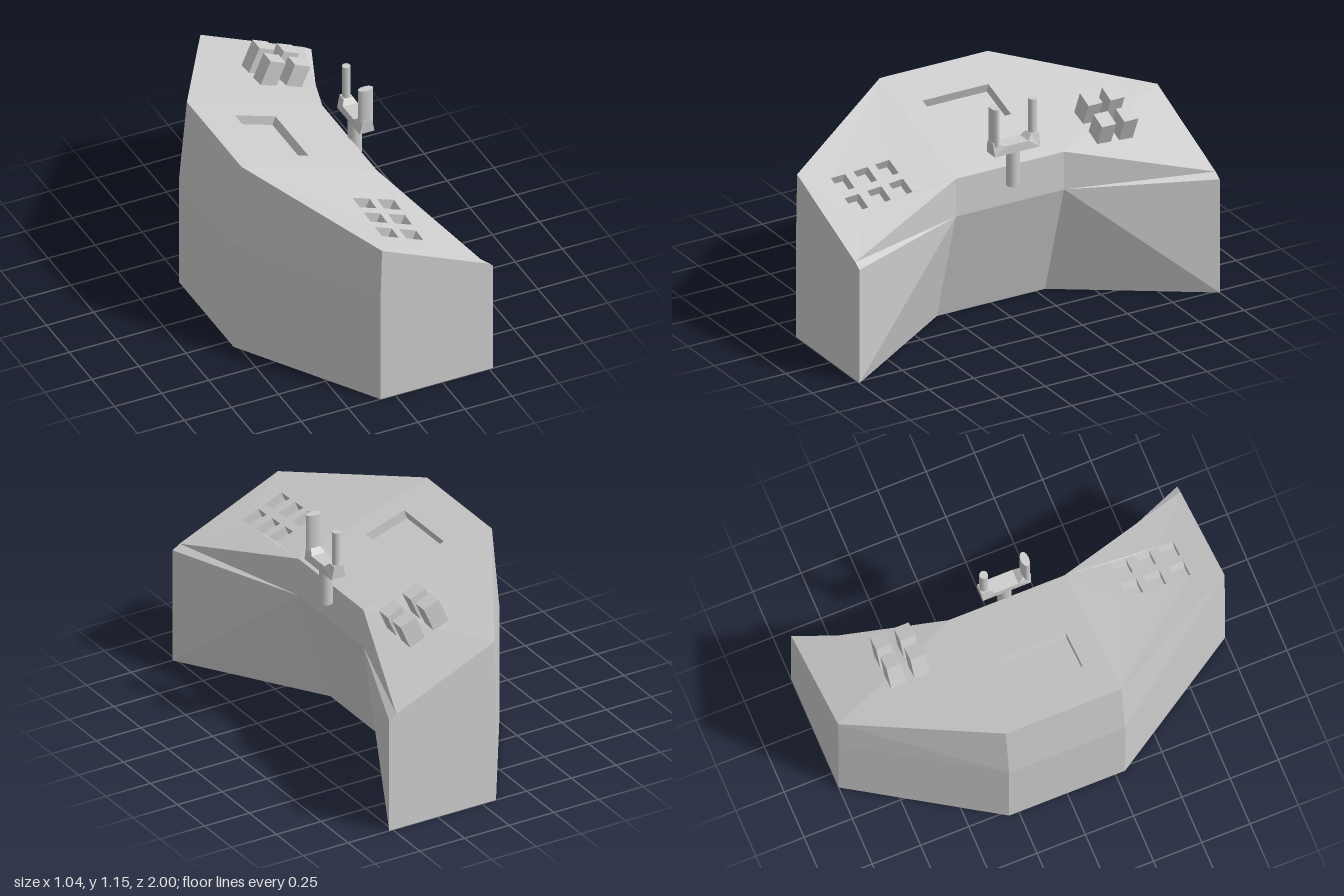
import * as THREE from 'three';

const { lerp, clamp } = THREE.MathUtils;

export function createModel() {
  const root = new THREE.Group();
  root.name = 'controlDesk';
  const grey = new THREE.MeshStandardMaterial({ color: 0xcccccc });
  grey.name = 'panelGrey';

  function add(name, geometry, parent = root) {
    const flat = geometry.index ? geometry.toNonIndexed() : geometry;
    flat.computeVertexNormals();
    const mesh = new THREE.Mesh(flat, grey);
    mesh.name = name;
    parent.add(mesh);
    return mesh;
  }

  // Convex polygons (counter-clockwise from outside) to a faceted geometry
  function faces(polygons) {
    const pos = [];
    for (const p of polygons)
      for (let i = 1; i < p.length - 1; i++) pos.push(...p[0], ...p[i], ...p[i + 1]);
    const g = new THREE.BufferGeometry();
    g.setAttribute('position', new THREE.Float32BufferAttribute(pos, 3));
    return g;
  }

  // Turn a bent quad so that it is split along its shorter diagonal
  const span = (a, b) => Math.hypot(a[0] - b[0], a[1] - b[1], a[2] - b[2]);
  const quad = (a, b, c, d) => span(a, c) < span(b, d) ? [a, b, c, d] : [b, c, d, a];

  // Sloping desk top: straight in the middle, folding down along both wings
  const wing = z => clamp((Math.abs(z) - 0.3) / 0.7, 0, 1);
  const backX = z => lerp(-0.48, -0.07, wing(z));
  const frontX = z => lerp(0.24, 0.48, wing(z));
  function height(x, z) {
    const u = (x - backX(z)) / (frontX(z) - backX(z));
    return lerp(1.04, 0.8, u) - 0.175 * wing(z);
  }

  // Cabinet body: one cross-section per fold, its foot set back in the middle
  const rings = [-1, -0.3, 0.3, 1].map(z => {
    const b = lerp(-0.522, -0.078, wing(z)), f = lerp(0.24, 0.52, wing(z));
    const tb = backX(z), tf = frontX(z);
    return [[b, 0, z], [b, 0.6, z], [tb, height(tb, z), z],
      [tf, height(tf, z), z], [f, 0.6, z], [lerp(0.06, 0.52, wing(z)), 0, z]];
  });
  const body = [rings[0], [...rings[3]].reverse()];
  for (let i = 0; i < 3; i++) {
    for (let k = 0; k < 6; k++) {
      if (k === 2) continue; // the desk top is built separately
      const n = (k + 1) % 6;
      body.push(quad(rings[i][k], rings[i + 1][k], rings[i + 1][n], rings[i][n]));
    }
  }
  add('cabinet', faces(body));

  // Recesses: [x0, x1, z0, z1]
  const screen = [-0.28, -0.065, -0.185, 0.18];
  const buttons = [];
  for (const z of [0.53, 0.65, 0.775])
    for (const x of [0, 0.13]) buttons.push([x, x + 0.09, z, z + 0.078]);

  const corners = ([x0, x1, z0, z1]) => [[x0, z0], [x0, z1], [x1, z1], [x1, z0]];

  // Desk top panel between two folds, with openings
  function panel(name, z0, z1, holes) {
    const toShape = ([x, z]) => new THREE.Vector2(x, -z);
    const outline = [[backX(z0), z0], [backX(z1), z1], [frontX(z1), z1], [frontX(z0), z0]];
    const shape = new THREE.Shape(outline.map(toShape));
    for (const h of holes) shape.holes.push(new THREE.Path(corners(h).map(toShape)));
    const g = new THREE.ShapeGeometry(shape).rotateX(-Math.PI / 2);
    const p = g.attributes.position;
    for (let i = 0; i < p.count; i++) p.setY(i, height(p.getX(i), p.getZ(i)));
    add(name, g);
  }
  panel('rightTopPanel', -1, -0.3, []);
  panel('centreTopPanel', -0.3, 0.3, [screen]);
  panel('leftTopPanel', 0.3, 1, buttons);

  // Walls and floor of a recess, sunk square to the sloping top
  function recess(name, rect, dx, dy) {
    const top = corners(rect).map(([x, z]) => [x, height(x, z), z]);
    const floor = top.map(([x, y, z]) => [x + dx, y + dy, z]);
    const polys = [floor];
    for (let i = 0; i < 4; i++) {
      const n = (i + 1) % 4;
      polys.push([top[i], top[n], floor[n], floor[i]]);
    }
    add(name, faces(polys));
  }
  recess('screenRecess', screen, -0.015, -0.046);
  for (const b of buttons) recess('buttonRecess', b, -0.02, -0.046);

  // Block levers leaning with the slope
  for (const z of [-0.533, -0.656]) {
    for (const [x, y] of [[0.1, 0.972], [0.23, 0.912]]) {
      const lever = add('blockLever', new THREE.BoxGeometry(0.089, 0.184, 0.078).translate(0, -0.092, 0));
      lever.position.set(x, y, z);
      lever.rotation.z = -0.412;
    }
  }

  // Control yoke: stem, tapered cradle and two grips
  const yoke = new THREE.Group();
  yoke.name = 'controlYoke';
  yoke.position.x = 0.273;
  root.add(yoke);

  const smooth = (name, geometry) => {
    const mesh = new THREE.Mesh(geometry, grey);
    mesh.name = name;
    yoke.add(mesh);
  };
  smooth('yokeStem', new THREE.CylinderGeometry(0.034, 0.034, 0.2, 16).translate(-0.005, 0.81, 0));

  const profile = [[-0.125, 0.9], [0.125, 0.9], [0.13, 0.97], [0.087, 0.97],
    [0.06, 0.945], [-0.06, 0.945], [-0.083, 0.97], [-0.127, 0.97]];
  const cradle = new THREE.ExtrudeGeometry(
    new THREE.Shape(profile.map(([z, y]) => new THREE.Vector2(-z, y))),
    { depth: 0.078, bevelEnabled: false });
  cradle.translate(0, 0, -0.039).rotateY(Math.PI / 2);
  const cp = cradle.attributes.position;
  for (let i = 0; i < cp.count; i++) if (cp.getY(i) > 0.96) cp.setX(i, cp.getX(i) * 0.65);
  add('yokeCradle', cradle, yoke);

  smooth('leftGrip', new THREE.CylinderGeometry(1, 1, 0.197, 12)
    .scale(0.039, 1, 0.021).translate(0, 1.047, 0.108));
  smooth('rightGrip', new THREE.CylinderGeometry(0.021, 0.021, 0.197, 12).translate(0, 1.047, -0.105));

  return root;
}
